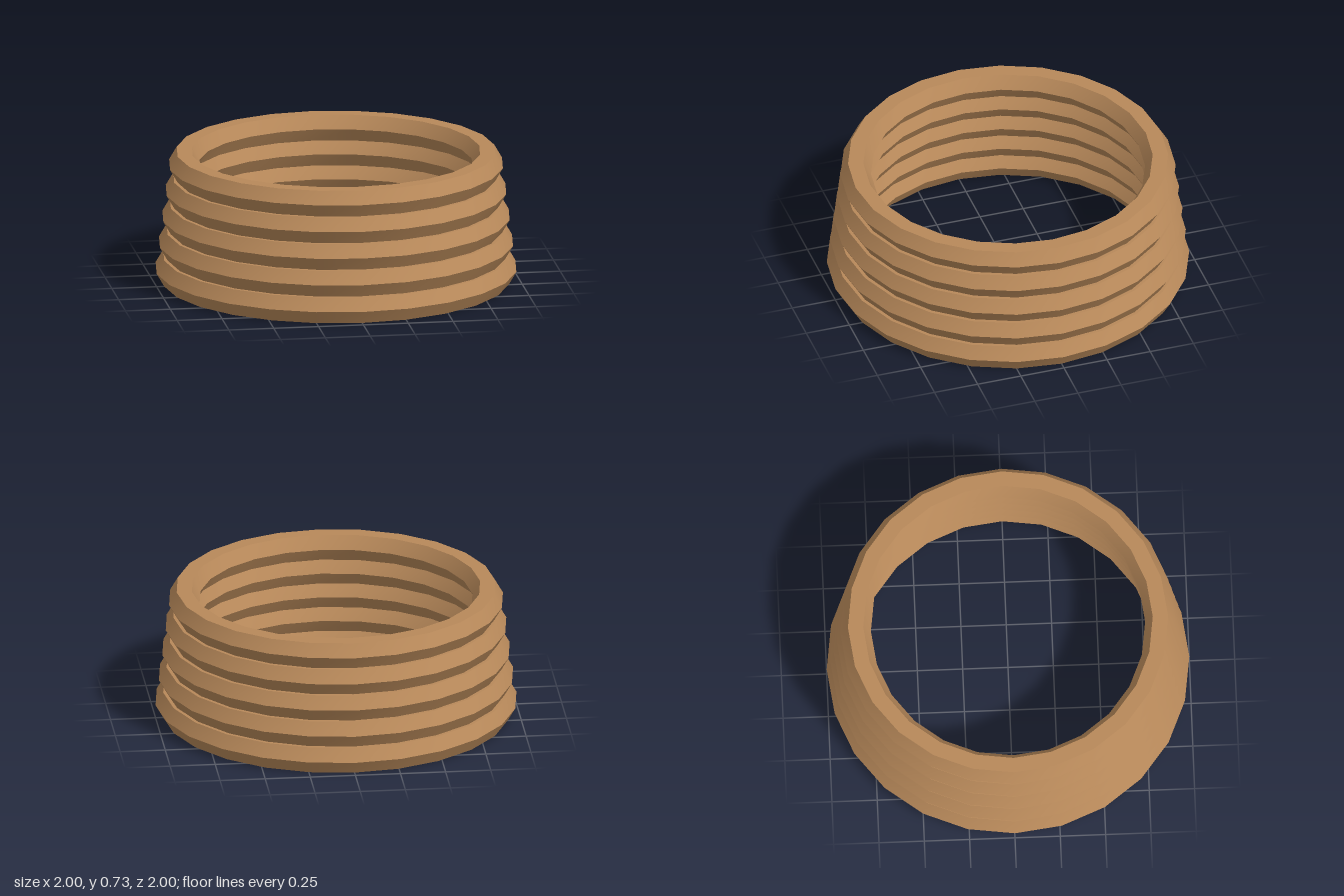
import * as THREE from 'three';
import { toCreasedNormals } from 'three/addons/utils/BufferGeometryUtils.js';

export function createModel() {
  const group = new THREE.Group();
  group.name = 'coiledRings';
  const clay = new THREE.MeshStandardMaterial({ color: 0xb8895a });
  clay.name = 'tan';

  const count = 5;
  const tube = 0.0845;    // radius of the hexagonal cross-section
  const spacing = 0.147;  // height between ring centres
  const taper = 0.0187;   // each ring is slightly narrower than the one below

  // Stacked hexagonal rings, narrowing upwards
  for (let i = 0; i < count; i++) {
    const torus = new THREE.TorusGeometry(1 - tube - i * taper, tube, 6, 24);
    torus.rotateX(-Math.PI / 2);
    // Smooth around the ring, sharp between the hexagon's sides
    const ring = new THREE.Mesh(toCreasedNormals(torus, 0.6), clay);
    ring.name = `ring${i + 1}`;
    ring.position.y = tube * Math.sin(Math.PI / 3) + i * spacing;
    group.add(ring);
  }
  return group;
}
